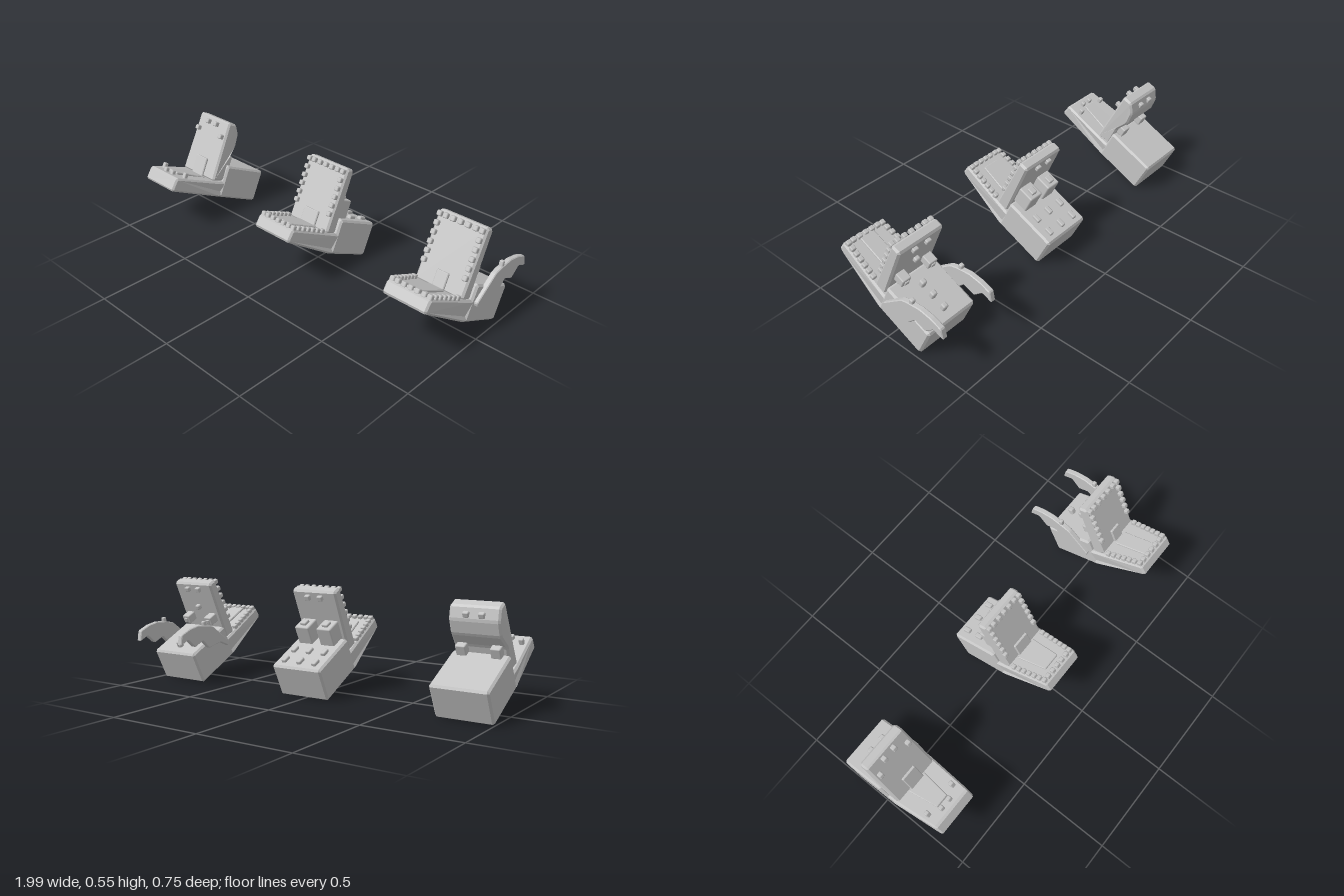
import * as THREE from 'three';
import { RoundedBoxGeometry } from 'three/addons/geometries/RoundedBoxGeometry.js';

const grey = new THREE.MeshStandardMaterial({ color: 0xc4c4c4 });
grey.name = 'light grey';

// Cut every corner of a side profile by a distance c
function chamfer(points, c) {
  const out = [];
  points.forEach((p, i) => {
    const cur = new THREE.Vector2(...p);
    for (const j of [i - 1, i + 1]) {
      const other = new THREE.Vector2(...points[(j + points.length) % points.length]);
      const d = other.sub(cur);
      out.push(cur.clone().addScaledVector(d.clone().normalize(), Math.min(c, d.length() * 0.4)));
    }
  });
  return out;
}

// Solid from a (z, y) side profile, bevelled, width w along x, scaled by taper(z, y)
function prism(name, points, w, bevel = 0.01, cut = 0.01, taper = null) {
  const depth = w - 2 * bevel;
  let g = new THREE.ExtrudeGeometry(new THREE.Shape(chamfer(points, cut)), {
    depth, bevelEnabled: true, bevelThickness: bevel, bevelSize: bevel, bevelOffset: -bevel, bevelSegments: 1,
  });
  g.translate(0, 0, -depth / 2).rotateY(-Math.PI / 2);
  if (taper) {
    const p = g.attributes.position;
    for (let i = 0; i < p.count; i++) p.setX(i, p.getX(i) * taper(p.getZ(i), p.getY(i)));
    g.computeVertexNormals();
  }
  const mesh = new THREE.Mesh(g, grey);
  mesh.name = name;
  return mesh;
}

function block(name, x, y, z, w, h, d, r = 0.006) {
  const mesh = new THREE.Mesh(new RoundedBoxGeometry(w, h, d, 1, r), grey);
  mesh.name = name;
  mesh.position.set(x, y, z);
  return mesh;
}

const rect = (z0, z1, y0, y1) => [[z0, y0], [z1, y0], [z1, y1], [z0, y1]];
const narrowing = (z0, z1, k) => (z) => THREE.MathUtils.lerp(1, k, THREE.MathUtils.clamp((z - z0) / (z1 - z0), 0, 1));

// Shared skull, lower jaw, tongue and nostrils; y is up the open mouth, z along the jaw
function head(name, x, jaw, jawTop, upper, tongue, nostril) {
  const outer = new THREE.Group();
  outer.name = name;
  outer.position.x = x;
  const tilt = new THREE.Group();
  tilt.name = name + ' tilted';
  tilt.rotation.x = THREE.MathUtils.degToRad(-26);
  tilt.position.set(0, 0.003, -0.185);
  outer.add(tilt);
  tilt.add(prism('skull', rect(0, 0.288, 0, 0.184), 0.288));
  tilt.add(prism('lowerJaw', jaw, 0.288, 0.01, 0.01, narrowing(0.29, 0.61, 0.82)));
  tilt.add(upper);
  const [z0, z1, w, k] = tongue;
  tilt.add(prism('tongue', rect(z0, z1, jawTop - 0.01, jawTop + 0.01), w, 0.004, 0.003, narrowing(z0, z1, k)));
  tilt.add(prism('throat', rect(0.35, 0.372, jawTop, 0.19), w * 0.75, 0.004, 0.003));
  for (const s of [-1, 1]) tilt.add(block('nostril', s * 0.038, nostril[0], nostril[1], 0.03, 0.028, 0.024));
  outer.userData.tilt = tilt;
  return outer;
}

// Rows of teeth around the rims of both jaws
function toothRows(tilt, size) {
  const tooth = (x, y, z) => tilt.add(block('tooth', x, y, z, size, size, size));
  for (const s of [-1, 1]) {
    for (let i = 0; i < 6; i++) tooth(s * 0.113, 0.203 + i * 0.0445, 0.367);
    for (let i = 0; i < 7; i++) tooth(s * (0.119 - i * 0.003), 0.114, 0.39 + i * 0.033);
  }
  for (let i = -2; i <= 2; i++) {
    tooth(i * 0.04, 0.426, 0.367);
    tooth(i * 0.036, 0.114, 0.59);
  }
}

export function createModel() {
  const model = new THREE.Group();
  model.name = 'three open mouthed heads';
  const deepJaw = [[0.1, 0], [0.3, 0], [0.617, 0.042], [0.607, 0.108], [0.29, 0.108], [0.1, 0.108]];
  const flatJaw = [[0.1, 0], [0.3, 0], [0.622, -0.004], [0.612, 0.072], [0.33, 0.085], [0.1, 0.107]];
  const plank = [[0.29, 0.103], [0.362, 0.103], [0.356, 0.446], [0.302, 0.446]];
  const bulge = [[0.28, 0.095], [0.362, 0.085], [0.356, 0.424], [0.3, 0.424], [0.262, 0.37], [0.255, 0.295], [0.285, 0.22]];

  // Head with a bulging snout and few teeth
  const first = head('sparseToothHead', -0.853, flatJaw, 0.078,
    prism('upperJaw', bulge, 0.264, 0.01, 0.008, (z, y) => (y > 0.25 ? 0.94 : 1)),
    [0.36, 0.55, 0.118, 0.62], [0.393, 0.275]);
  const a = first.userData.tilt;
  for (const s of [-1, 1]) {
    a.add(block('upperTooth', s * 0.097, 0.337, 0.367, 0.026, 0.026, 0.03));
    a.add(block('upperTooth', s * 0.033, 0.392, 0.367, 0.026, 0.026, 0.03));
    a.add(block('lowerTooth', s * 0.09, 0.085, 0.535, 0.024, 0.04, 0.024));
    a.add(block('lowerTooth', s * 0.028, 0.08, 0.572, 0.024, 0.03, 0.024));
    a.add(block('eye', s * 0.085, 0.208, 0.27, 0.05, 0.055, 0.05));
  }

  // Head with large box eyes and studs on its skull
  const second = head('boxEyedHead', 0.016, deepJaw, 0.108,
    prism('upperJaw', plank, 0.262), [0.37, 0.55, 0.13, 0.75], [0.41, 0.295]);
  const b = second.userData.tilt;
  toothRows(b, 0.025);
  for (const s of [-1, 1]) {
    b.add(block('eye', s * 0.066, 0.23, 0.255, 0.084, 0.104, 0.09, 0.008));
    b.add(block('pupil', s * 0.066, 0.285, 0.25, 0.036, 0.022, 0.04));
  }
  for (const x of [-0.09, 0, 0.09])
    for (const z of [0.055, 0.145]) b.add(block('skullStud', x, 0.187, z, 0.026, 0.026, 0.045));

  // Head with small eyes, a crest of studs and side horns
  const third = head('hornedHead', 0.832, deepJaw, 0.108,
    prism('upperJaw', plank, 0.262), [0.38, 0.59, 0.086, 0.95], [0.41, 0.295]);
  const c = third.userData.tilt;
  toothRows(c, 0.026);
  for (const s of [-1, 1]) {
    c.add(block('eye', s * 0.08, 0.237, 0.272, 0.05, 0.048, 0.058));
    c.add(block('pupil', s * 0.08, 0.237, 0.242, 0.024, 0.024, 0.012, 0.004));
  }
  for (const z of [0.065, 0.14, 0.21]) c.add(block('crestStud', 0, 0.195, z, 0.03, 0.045, 0.03, 0.009));
  c.add(block('crestStud', 0, 0.3, 0.29, 0.03, 0.03, 0.03, 0.009));

  // Side horns sweeping backwards
  const horn = [[0.013, 0.21], [-0.12, 0.308], [-0.155, 0.317], [-0.24, 0.326], [-0.306, 0.314], [-0.367, 0.289],
    [-0.376, 0.232], [-0.32, 0.257], [-0.266, 0.212], [-0.204, 0.239], [-0.155, 0.193], [-0.06, 0.214], [0.006, 0.186]];
  for (const s of [-1, 1]) {
    const h = prism('sideHorn', horn, 0.028, 0.004, 0.005);
    h.position.x = s * 0.149;
    const spur = block('hornSpur', s * 0.149, 0.322, -0.181, 0.022, 0.044, 0.022);
    spur.rotation.x = -0.2;
    third.add(h, spur);
  }

  for (const h of [first, second, third]) {
    h.userData = {};
    model.add(h);
  }
  return model;
}
